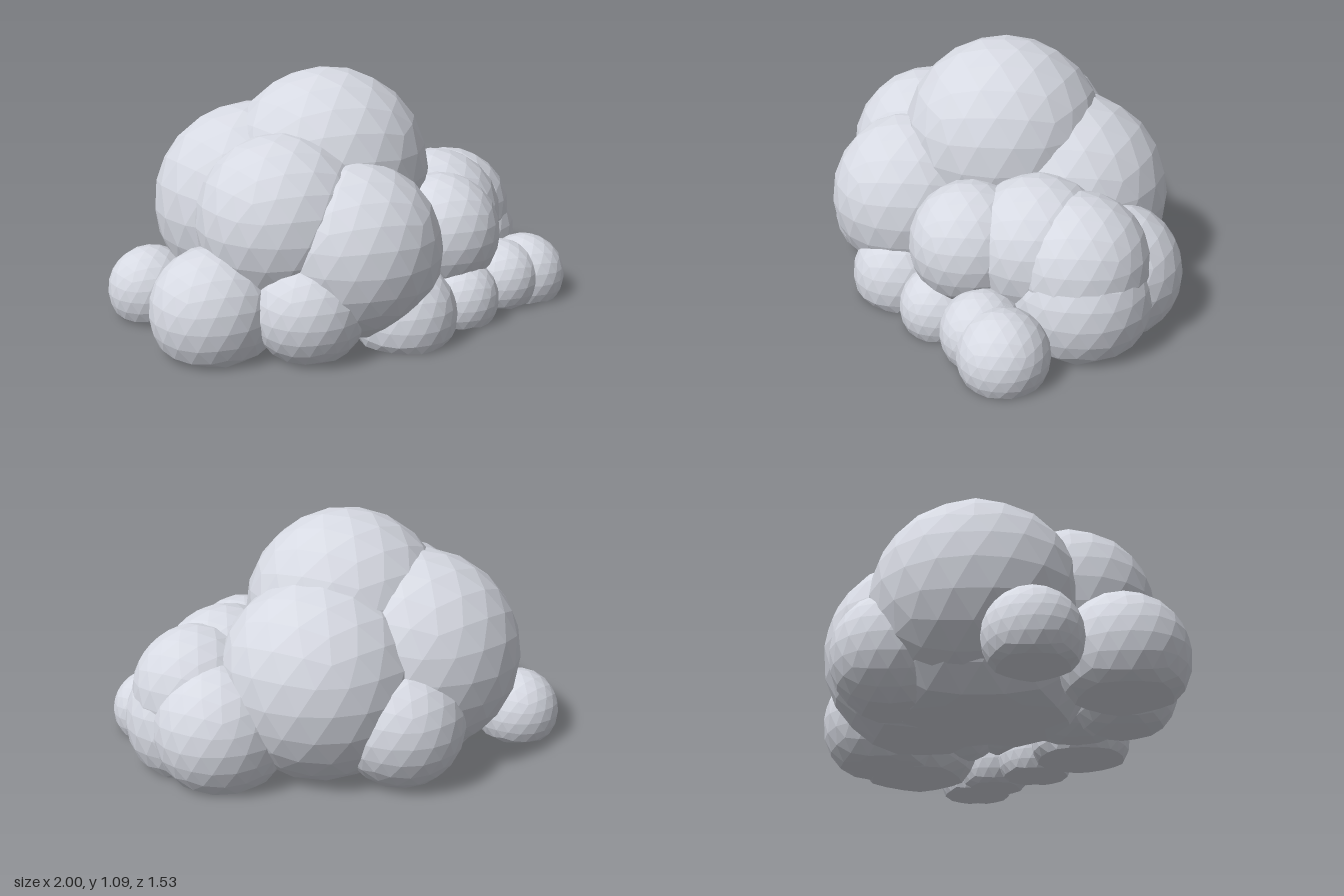
import * as THREE from 'three';

// Each puff: name, centre x, y, z, radius
const PUFFS = [
  ['corePuff', -0.18, 0.36, -0.12, 0.50],
  ['crownPuff', -0.03, 0.635, -0.005, 0.458],
  ['backRightPuff', -0.28, 0.465, -0.23, 0.463],
  ['backLeftPuff', 0.19, 0.405, -0.21, 0.453],
  ['rearPuff', -0.06, 0.25, -0.49, 0.28],
  ['rearOutlierPuff', -0.78, 0.12, -0.32, 0.195],
  ['sidePuff', -0.73, 0.17, 0.17, 0.272],
  ['shoulderPuff', -0.39, 0.50, 0.18, 0.375],
  ['frontPuff', -0.17, 0.385, 0.385, 0.38],
  ['lowFrontPuff', -0.43, 0.19, 0.43, 0.24],
  ['smallFrontPuff', -0.01, 0.10, 0.535, 0.23],
  ['smallFrontPuff', 0.32, 0.09, 0.52, 0.18],
  ['smallFrontPuff', 0.61, 0.11, 0.48, 0.18],
  ['smallFrontPuff', 0.77, 0.095, 0.48, 0.19],
  ['frontLeftPuff', 0.33, 0.36, 0.37, 0.27],
  ['middleLeftPuff', 0.495, 0.36, 0.145, 0.31],
  ['leftPuff', 0.66, 0.33, 0.05, 0.30],
  ['lowLeftPuff', 0.685, 0.20, 0.06, 0.31],
  ['lowBackLeftPuff', 0.63, 0.22, -0.15, 0.30],
];

// Faceted ball whose underside is pressed flat onto the ground
function puffGeometry(x, y, z, r) {
  const geometry = new THREE.IcosahedronGeometry(r, 3);
  geometry.rotateZ(-Math.atan(2 / (1 + Math.sqrt(5)))); // corner points straight up
  geometry.translate(x, y, z);
  const p = geometry.attributes.position;
  for (let i = 0; i < p.count; i++) p.setY(i, Math.max(0, p.getY(i)));
  geometry.computeVertexNormals();
  return geometry;
}

export function createModel() {
  const cloud = new THREE.Group();
  cloud.name = 'cloud';
  const paleGrey = new THREE.MeshStandardMaterial({ color: 0xd6d9e2, flatShading: true });
  paleGrey.name = 'paleGrey';

  for (const [name, x, y, z, r] of PUFFS) {
    const puff = new THREE.Mesh(puffGeometry(x, y, z, r), paleGrey);
    puff.name = name;
    cloud.add(puff);
  }
  return cloud;
}
